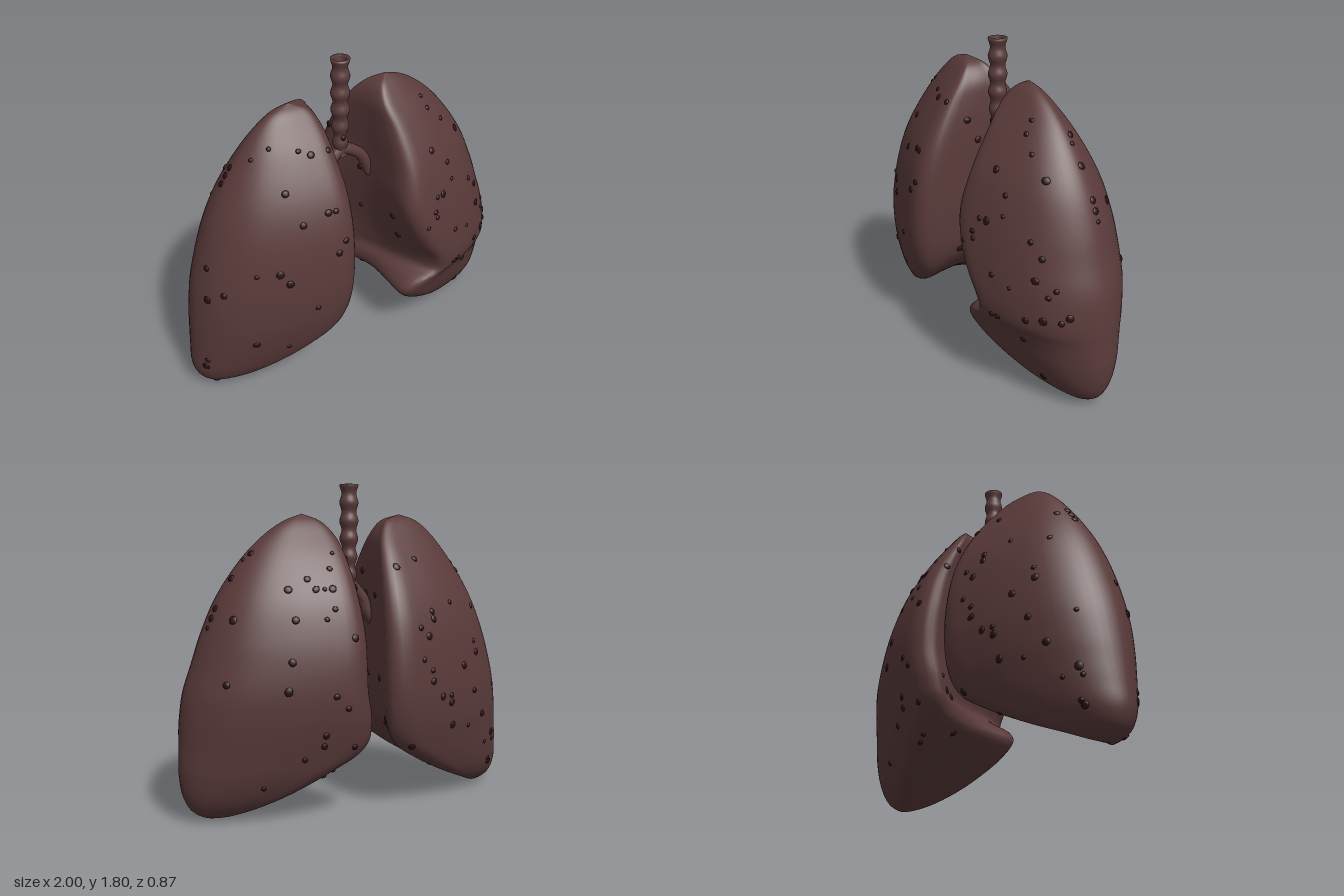
import * as THREE from 'three';

const tissue = new THREE.MeshStandardMaterial({ color: 0x5a3a3a });
tissue.name = 'dull brown tissue';
tissue.side = THREE.DoubleSide;
const tar = new THREE.MeshStandardMaterial({ color: 0x2a0e10 });
tar.name = 'dark spots';

// Each row: height, outer edge, front inner corner, inner middle, back inner corner, half depth
const RIGHT = [
  [1.635, .33, .33, .33, .33, 0],
  [1.6, .44, .24, .23, .22, .06],
  [1.52, .54, .2, .17, .16, .13],
  [1.4, .64, .18, .15, .12, .22],
  [1.2, .77, .16, .14, .085, .335],
  [1.0, .86, .155, .14, .07, .4],
  [.7, .95, .165, .14, .065, .43],
  [.5, .98, .19, .17, .085, .41],
  [.38, .99, .24, .27, .14, .375],
  [.27, .997, .36, .4, .3, .32],
  [.15, 1, .55, .6, .53, .235],
  [.07, .97, .72, .75, .71, .15],
  [.025, .92, .81, .82, .81, .07],
  [.005, .87, .87, .87, .87, 0],
];
const LEFT = [
  [1.64, .28, .28, .28, .28, 0],
  [1.6, .39, .22, .2, .19, .06],
  [1.52, .51, .19, .16, .13, .13],
  [1.4, .63, .2, .16, .1, .22],
  [1.2, .77, .2, .17, .08, .335],
  [1.0, .86, .185, .17, .065, .4],
  [.85, .91, .22, .18, .065, .425],
  [.7, .96, .29, .2, .06, .43],
  [.57, .98, .37, .22, .035, .42],
  [.49, .987, .38, .23, .03, .405],
  [.43, .99, .27, .2, .035, .39],
  [.36, .995, .21, .2, .08, .365],
  [.27, .997, .27, .31, .22, .32],
  [.15, .98, .45, .52, .43, .235],
  [.07, .94, .62, .67, .61, .15],
  [.025, .88, .74, .76, .74, .07],
  [.005, .81, .81, .81, .81, 0],
];

// Rounded wedge section: thin outer edge, full front and back, hollow inner wall
const FLANK = [[.05, .3], [.2, .6], [.45, .82], [.7, .95], [.91, 1]];
function section([y, xo, xf, xm, xb, d], side) {
  const mix = THREE.MathUtils.lerp;
  const at = (x, z) => new THREE.Vector3(x * side, y, z * d);
  return [
    at(xo, 0),
    ...FLANK.map(([t, z]) => at(mix(xo, xf, t), z)),
    at(xf, .88), at(mix(xm, xf, .4), .45), at(xm, 0), at(mix(xm, xb, .5), -.5), at(xb, -.86),
    ...FLANK.slice().reverse().map(([t, z]) => at(mix(xo, xb, t), -z)),
  ];
}

// Skin stretched over smooth rails that run from apex to base
function lungGeometry(rows, side) {
  const N = 56, M = 64, sections = rows.map(r => section(r, side));
  const rails = sections[0].map((_, k) => new THREE.CatmullRomCurve3(sections.map(s => s[k])));
  const pos = [], index = [];
  for (let i = 0; i <= M; i++) {
    const ring = new THREE.CatmullRomCurve3(rails.map(r => r.getPoint(i / M)), true);
    for (let j = 0; j < N; j++) pos.push(...ring.getPoint(j / N).toArray());
  }
  for (let i = 0; i < M; i++) for (let j = 0; j < N; j++) {
    const a = i * N + j, b = i * N + (j + 1) % N, c = a + N, d = b + N;
    if (side > 0) index.push(a, b, c, b, d, c);
    else index.push(a, c, b, b, c, d);
  }
  const g = new THREE.BufferGeometry();
  g.setAttribute('position', new THREE.Float32BufferAttribute(pos, 3));
  g.setIndex(index);
  g.computeVertexNormals();
  return g;
}

// Front spots as x, y pairs
const RIGHT_SPOTS = [
  -.5, 1.47, -.36, 1.45, -.32, 1.43, -.22, 1.43, -.48, 1.27, -.46, 1.12, -.32, 1.16, -.27, 1.15,
  -.24, .95, -.3, .9, -.61, .89, -.7, .86, -.55, .79, -.87, .72, -.93, .69, -.44, .6,
  -.73, .38, -.55, .31, -.95, .24, -.96, .19, -.9, .04, -.6, 1.41, -.9, .88,
];
const LEFT_SPOTS = [
  .45, 1.5, .46, 1.42, .54, 1.35, .67, 1.26, .4, 1.23, .52, 1.15, .52, 1.07, .42, 1.01,
  .39, .99, .38, .92, .38, .87, .29, .85, .71, .97, .74, .9, .76, .78, .51, .74,
  .64, .7, .82, .71, .85, .73, .92, .61, .88, .57, .81, .56, .73, .55, .53, .5,
  .57, .51, .68, .39, .22, .31, .1, .5, .72, .14,
];

let seed = 7;
const rand = () => (seed = (seed * 16807) % 2147483647) / 2147483647;
const spotGeometry = new THREE.SphereGeometry(1, 10, 6);

function addSpots(group, geometry, pairs) {
  const p = geometry.attributes.position, n = geometry.attributes.normal;
  const v = new THREE.Vector3(), normal = new THREE.Vector3(), Z = new THREE.Vector3(0, 0, 1);
  const place = (i) => {
    const r = .012 + .011 * rand();
    const spot = new THREE.Mesh(spotGeometry, tar);
    spot.name = 'spot';
    spot.position.fromBufferAttribute(p, i);
    spot.quaternion.setFromUnitVectors(Z, normal.fromBufferAttribute(n, i).normalize());
    spot.scale.set(r, r * (.8 + .3 * rand()), .008);
    group.add(spot);
  };
  const nearest = (x, y, accept) => {
    let best = -1, score = Infinity;
    for (let i = 0; i < p.count; i++) {
      v.fromBufferAttribute(p, i);
      const s = Math.hypot(v.x - x, v.y - y);
      if (s < score && accept(i)) { best = i; score = s; }
    }
    return best;
  };
  for (let k = 0; k < pairs.length; k += 2) place(nearest(pairs[k], pairs[k + 1], i => n.getZ(i) > .1));
  // scattered spots on the back
  const side = Math.sign(pairs[0]);
  for (let k = 0; k < 34; k++) {
    const y = .15 + 1.35 * rand(), x = side * (.15 + .8 * rand());
    place(nearest(x, y, i => n.getZ(i) < -.1));
  }
  // a few on the inner wall
  for (let k = 0; k < 9; k++) {
    const y = .45 + .95 * rand(), z = -.3 + .6 * rand();
    let best = 0, score = Infinity;
    for (let i = 0; i < p.count; i++) {
      const s = Math.hypot(p.getY(i) - y, p.getZ(i) - z);
      if (n.getX(i) * side < -.5 && s < score) { best = i; score = s; }
    }
    place(best);
  }
}

function lung(name, rows, side, spots) {
  const group = new THREE.Group();
  group.name = name;
  const geometry = lungGeometry(rows, side);
  const body = new THREE.Mesh(geometry, tissue);
  body.name = name + 'Body';
  group.add(body);
  addSpots(group, geometry, spots);
  return group;
}

function airway() {
  const group = new THREE.Group();
  group.name = 'airway';
  // ringed windpipe with an open, hollow top
  const profile = [];
  for (let i = 0; i <= 60; i++) {
    const y = 1.22 + .58 * i / 60;
    const r = .035 + .012 * Math.min(1, (y - 1.22) / .3);
    profile.push(new THREE.Vector2(r + .006 * Math.cos((1.8 - y) / .1 * Math.PI * 2), y));
  }
  profile.push(new THREE.Vector2(.042, 1.803), new THREE.Vector2(.032, 1.79), new THREE.Vector2(.028, 1.7), new THREE.Vector2(0, 1.69));
  const pipe = new THREE.Mesh(new THREE.LatheGeometry(profile, 24), tissue);
  pipe.name = 'windpipe';
  pipe.position.x = -.01;
  group.add(pipe);
  // two branches, each with a rounded end
  const branches = [
    ['leftBranch', [[-.015, 1.26], [.05, 1.235], [.12, 1.18], [.16, 1.11], [.185, 1.05]]],
    ['rightBranch', [[-.005, 1.26], [-.05, 1.22], [-.1, 1.16], [-.12, 1.1], [-.15, 1.05]]],
  ];
  for (const [name, pts] of branches) {
    const path = new THREE.CatmullRomCurve3(pts.map(([x, y]) => new THREE.Vector3(x, y, 0)));
    const tube = new THREE.Mesh(new THREE.TubeGeometry(path, 24, .033, 14), tissue);
    tube.name = name;
    const end = new THREE.Mesh(new THREE.SphereGeometry(.033, 14, 10), tissue);
    end.name = name + 'End';
    end.position.copy(path.getPoint(1));
    group.add(tube, end);
  }
  const spot = new THREE.Mesh(spotGeometry, tar);
  spot.name = 'spot';
  spot.scale.set(.016, .016, .008);
  spot.position.set(-.012, 1.34, .036);
  group.add(spot);
  return group;
}

export function createModel() {
  const model = new THREE.Group();
  model.name = 'lungs';
  model.add(lung('rightLung', RIGHT, -1, RIGHT_SPOTS), lung('leftLung', LEFT, 1, LEFT_SPOTS), airway());
  return model;
}
